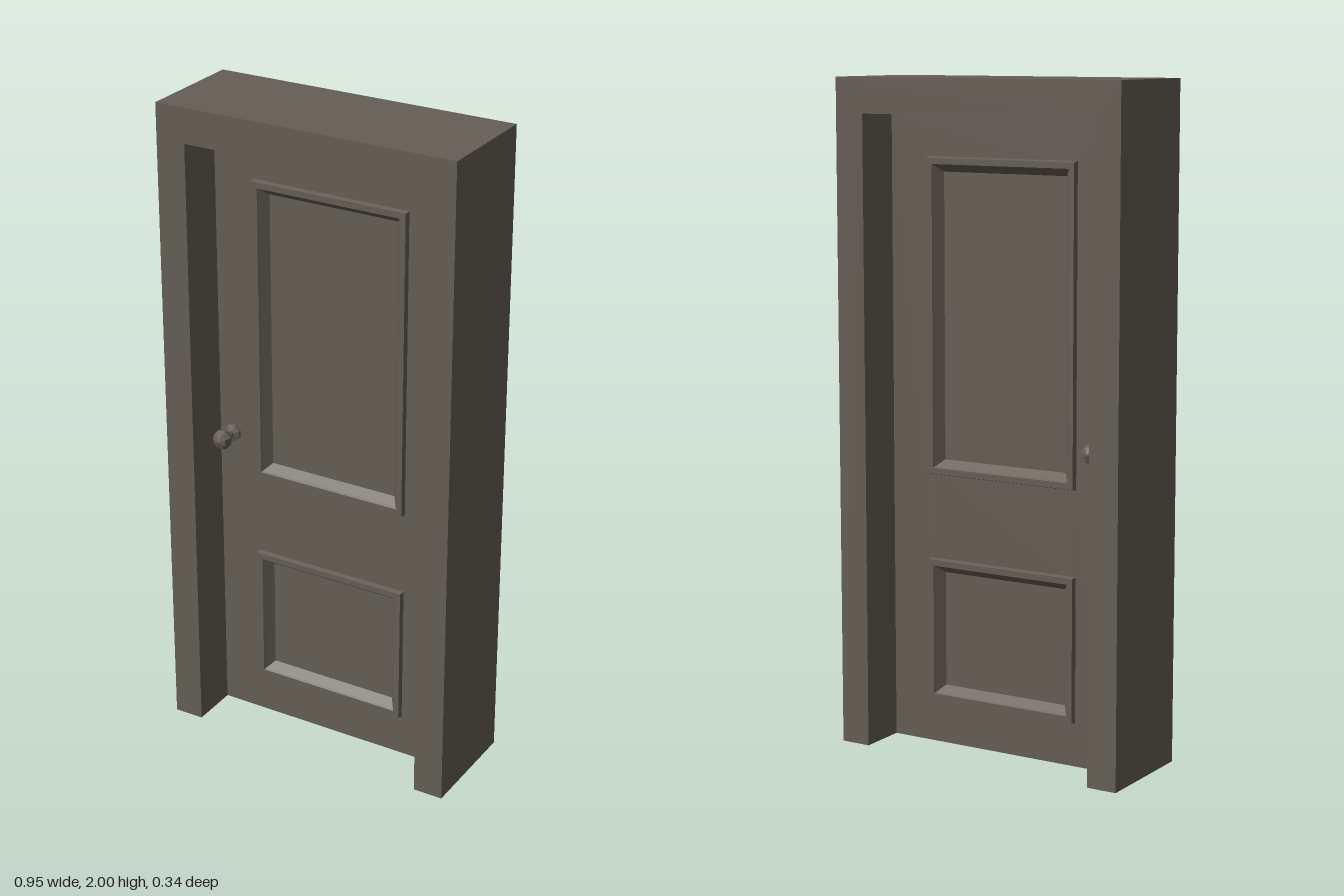
import * as THREE from 'three';

const wood = new THREE.MeshStandardMaterial({ color: 0x655e55 });
wood.name = 'greyBrownWood';

const HALF_W = 0.473, HALF_D = 0.172, OPEN_W = 0.38, OPEN_H = 1.895, DOOR_Z = 0.022;
const PANELS = [
  { name: 'upperPanel', y0: 0.825, y1: 1.77 },
  { name: 'lowerPanel', y0: 0.13, y1: 0.57 },
];
const PANEL_HALF = 0.253;
// moulding section: [inset from the outer edge, z]
const MOULDING = [[0, DOOR_Z], [0.004, 0.036], [0.022, 0.036], [0.026, 0.03], [0.045, 0.004]];

function add(parent, name, geometry) {
  const mesh = new THREE.Mesh(geometry, wood);
  mesh.name = name;
  parent.add(mesh);
  return mesh;
}

function flat(geometry) {
  const g = geometry.index ? geometry.toNonIndexed() : geometry;
  g.computeVertexNormals();
  return g;
}

function extrude(shape, depth) {
  return new THREE.ExtrudeGeometry(shape, { depth, bevelEnabled: false }).translate(0, 0, -depth / 2);
}

const corners = (half, y0, y1, inset) => [
  [-half + inset, y0 + inset], [half - inset, y0 + inset],
  [half - inset, y1 - inset], [-half + inset, y1 - inset],
];

// Mitred rectangular moulding that follows the section around a panel
function mouldingGeometry(half, y0, y1) {
  const pos = [];
  for (let i = 0; i < MOULDING.length - 1; i++) {
    const [o, zo] = MOULDING[i], [n, zn] = MOULDING[i + 1];
    const outer = corners(half, y0, y1, o), inner = corners(half, y0, y1, n);
    for (let k = 0; k < 4; k++) {
      const m = (k + 1) % 4;
      const a = [...outer[k], zo], b = [...outer[m], zo];
      const c = [...inner[m], zn], d = [...inner[k], zn];
      pos.push(...a, ...b, ...c, ...a, ...c, ...d);
    }
  }
  const g = new THREE.BufferGeometry();
  g.setAttribute('position', new THREE.Float32BufferAttribute(pos, 3));
  return flat(g);
}

export function createModel() {
  const model = new THREE.Group();
  model.name = 'panelledDoor';

  // Door casing: two jambs and a head
  const casing = new THREE.Shape([
    [-HALF_W, 0], [-OPEN_W, 0], [-OPEN_W, OPEN_H], [OPEN_W, OPEN_H],
    [OPEN_W, 0], [HALF_W, 0], [HALF_W, 2], [-HALF_W, 2],
  ].map(p => new THREE.Vector2(...p)));
  add(model, 'doorFrame', extrude(casing, HALF_D * 2));

  // Door leaf with openings for the two panels
  const leaf = new THREE.Shape(
    corners(OPEN_W, 0, OPEN_H, 0).map(p => new THREE.Vector2(...p)));
  for (const { y0, y1 } of PANELS) {
    const hole = corners(PANEL_HALF, y0, y1, 0.015).map(p => new THREE.Vector2(...p));
    leaf.holes.push(new THREE.Path(hole.reverse()));
  }
  add(model, 'doorLeaf', extrude(leaf, DOOR_Z * 2));

  // Recessed panels, with moulding on both faces
  for (const { name, y0, y1 } of PANELS) {
    const board = new THREE.BoxGeometry((PANEL_HALF - 0.04) * 2, y1 - y0 - 0.08, 0.008);
    add(model, name, board).position.y = (y0 + y1) / 2;
    const g = mouldingGeometry(PANEL_HALF, y0, y1);
    add(model, name + 'MouldingFront', g);
    add(model, name + 'MouldingBack', g).rotation.y = Math.PI;
  }

  // Faceted knobs on both faces: rose, neck and ball
  const profile = [
    [0.028, 0], [0.028, 0.01], [0.012, 0.016], [0.012, 0.038],
    [0.024, 0.044], [0.031, 0.06], [0.023, 0.078], [0, 0.086],
  ].map(p => new THREE.Vector2(...p));
  const knob = flat(new THREE.LatheGeometry(profile, 8, Math.PI / 8));
  for (const side of [1, -1]) {
    const mesh = add(model, side > 0 ? 'frontKnob' : 'backKnob', knob);
    mesh.position.set(-0.336, 0.95, side * DOOR_Z);
    mesh.rotation.x = side * Math.PI / 2;
  }

  return model;
}
